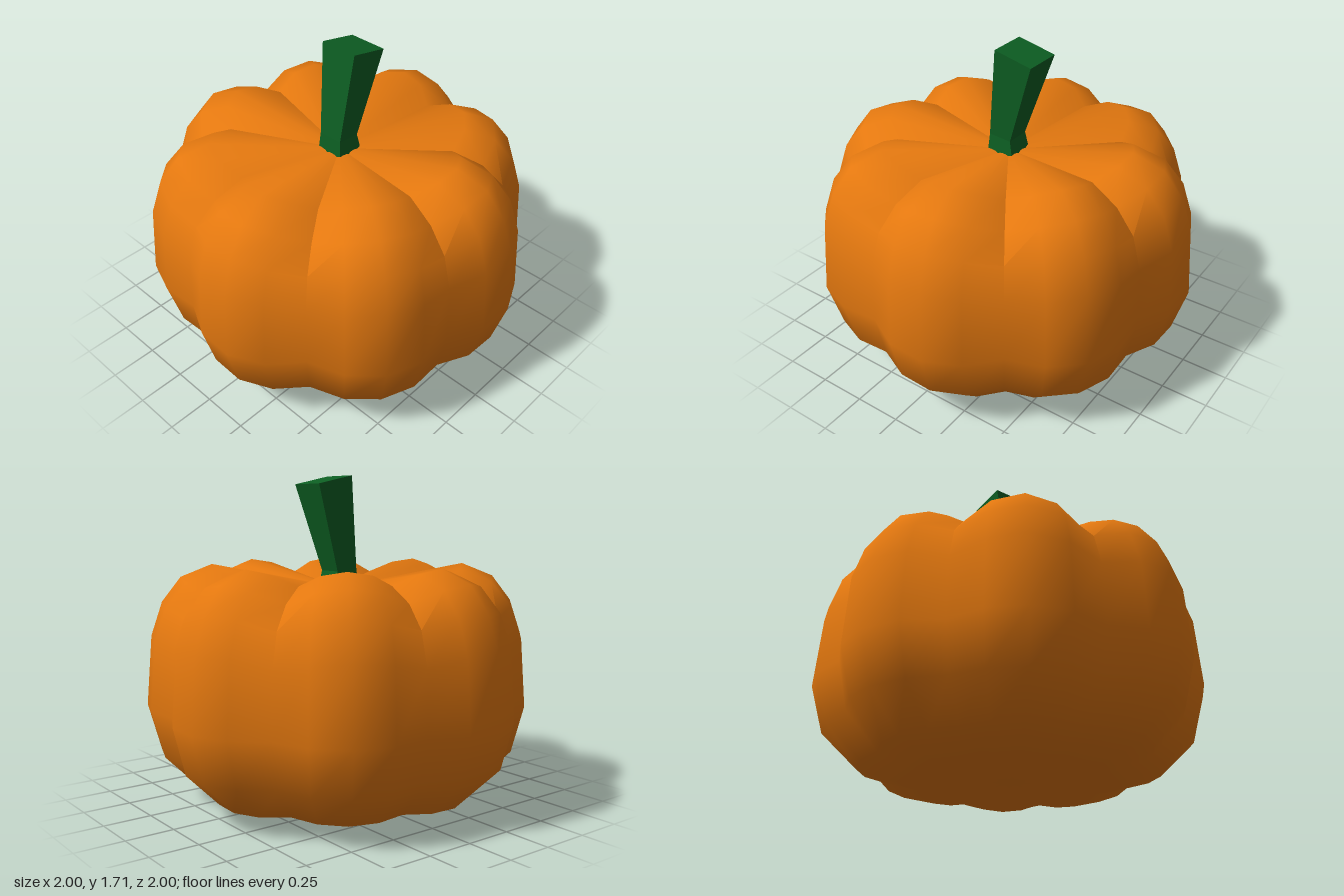
import * as THREE from 'three';
import { toCreasedNormals } from 'three/addons/utils/BufferGeometryUtils.js';

// Skin stacked closed rings of points, with a fan cap at each end
function skinRings(rings, bottom, top) {
  const n = rings[0].length;
  const points = [...rings.flat(), bottom, top];
  const b = rings.length * n, t = b + 1;
  const index = [];
  for (let j = 0; j < n; j++) {
    const k = (j + 1) % n;
    index.push(b, j, k);
    for (let i = 0; i < rings.length - 1; i++) {
      const lo = i * n, hi = lo + n;
      index.push(lo + j, hi + j, lo + k, hi + j, hi + k, lo + k);
    }
    const last = (rings.length - 1) * n;
    index.push(last + j, t, last + k);
  }
  const geometry = new THREE.BufferGeometry();
  geometry.setAttribute('position', new THREE.Float32BufferAttribute(points.flat(), 3));
  geometry.setIndex(index);
  return geometry;
}

// Eight-lobed body: each ring runs between a groove profile and a lobe profile
function pumpkinBody() {
  const lobes = 8, steps = 4;
  const bulge = [0, 0.72, 1, 0.72];
  // groove radius, groove height, lobe radius, lobe height
  const profile = [
    [0.48, 0.02, 0.53, 0.0],
    [0.70, 0.08, 0.765, 0.07],
    [0.87, 0.26, 0.95, 0.25],
    [0.92, 0.50, 1.02, 0.50],
    [0.905, 0.82, 0.99, 0.87],
    [0.85, 0.99, 0.93, 1.05],
    [0.74, 1.10, 0.83, 1.18],
    [0.58, 1.17, 0.665, 1.247],
  ];
  const rings = profile.map(([gr, gy, lr, ly]) => {
    const ring = [];
    for (let j = 0; j < lobes * steps; j++) {
      const angle = ((j + 1) / (lobes * steps)) * Math.PI * 2;
      const w = bulge[j % steps];
      const r = THREE.MathUtils.lerp(gr, lr, w);
      ring.push([r * Math.cos(angle), THREE.MathUtils.lerp(gy, ly, w), r * Math.sin(angle)]);
    }
    return ring;
  });
  const geometry = skinRings(rings, [0, 0.02, 0], [0, 1.12, 0]);
  return toCreasedNormals(geometry, THREE.MathUtils.degToRad(42));
}

// Square stem that narrows above its foot, then widens and leans sideways
function stemGeometry() {
  // left x, left y, right x, right y, half depth
  const sections = [
    [-0.08, 1.09, 0.08, 1.09, 0.08],
    [-0.07, 1.22, 0.055, 1.21, 0.068],
    [-0.01, 1.705, 0.2, 1.66, 0.105],
  ];
  const rings = sections.map(([xl, yl, xr, yr, d]) => [
    [xr, yr, -d], [xr, yr, d], [xl, yl, d], [xl, yl, -d],
  ]);
  const geometry = skinRings(rings, [0, 1.09, 0], [0.095, 1.6825, 0]).toNonIndexed();
  geometry.computeVertexNormals();
  return geometry;
}

export function createModel() {
  const orange = new THREE.MeshStandardMaterial({ color: 0xe4780f });
  orange.name = 'pumpkin orange';
  const green = new THREE.MeshStandardMaterial({ color: 0x0d5f23 });
  green.name = 'stem green';

  const group = new THREE.Group();
  group.name = 'pumpkin';

  const body = new THREE.Mesh(pumpkinBody(), orange);
  body.name = 'body';
  const stem = new THREE.Mesh(stemGeometry(), green);
  stem.name = 'stem';
  group.add(body, stem);
  return group;
}
